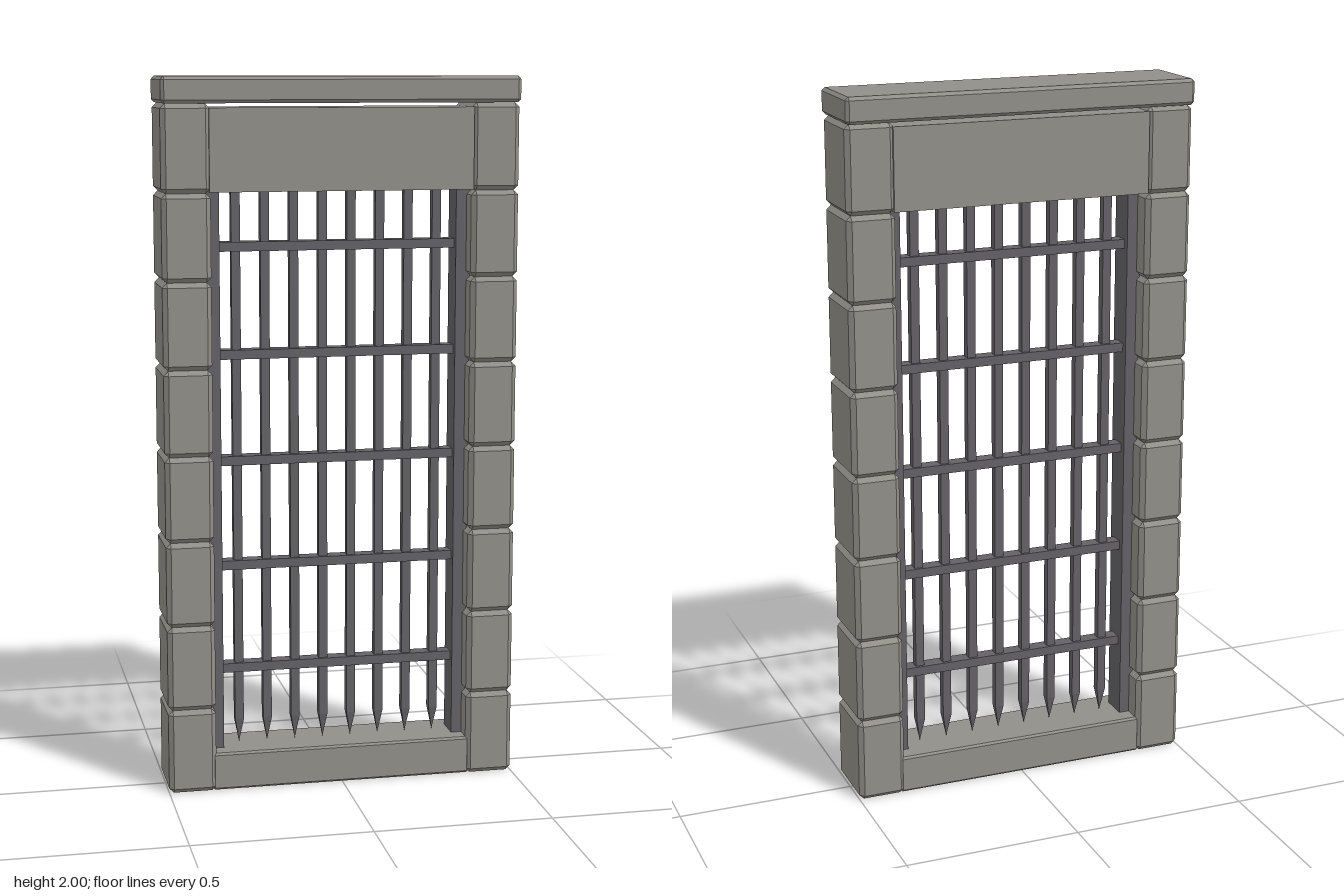
import * as THREE from 'three';
import { ConvexGeometry } from 'three/addons/geometries/ConvexGeometry.js';

const stone = new THREE.MeshStandardMaterial({ color: 0x918f88 });
stone.name = 'stone';
const iron = new THREE.MeshStandardMaterial({ color: 0x636166 });
iron.name = 'iron';

// Box with every edge cut at 45 degrees
function chamferedBox(w, h, d, c) {
  const points = [];
  for (const sx of [-1, 1]) for (const sy of [-1, 1]) for (const sz of [-1, 1]) {
    const x = w / 2, y = h / 2, z = d / 2;
    points.push(
      new THREE.Vector3(sx * x, sy * (y - c), sz * (z - c)),
      new THREE.Vector3(sx * (x - c), sy * y, sz * (z - c)),
      new THREE.Vector3(sx * (x - c), sy * (y - c), sz * z));
  }
  return new ConvexGeometry(points);
}

export function createModel() {
  const model = new THREE.Group();
  model.name = 'portcullisGate';

  function add(name, geometry, material, x, y, z = 0, parent = model) {
    const mesh = new THREE.Mesh(geometry, material);
    mesh.name = name;
    mesh.position.set(x, y, z);
    parent.add(mesh);
    return mesh;
  }

  // Posts of stacked stone blocks, with an iron guide on the inner side
  const pitch = 1.928 / 8;
  const block = chamferedBox(0.135, pitch, 0.2, 0.013);
  const guide = new THREE.BoxGeometry(0.04, 1.6, 0.08);
  for (const side of [-1, 1]) {
    const post = new THREE.Group();
    post.name = side > 0 ? 'leftPost' : 'rightPost';
    model.add(post);
    for (let i = 0; i < 8; i++) {
      add('stoneBlock', block, stone, side * 0.4325, pitch * (i + 0.5), 0, post);
    }
    add('guideRail', guide, iron, side * 0.355, 0.9, 0, post);
  }

  // Stone cap, lintel and sill
  add('cap', chamferedBox(1, 0.072, 0.224, 0.009), stone, 0, 1.964);
  add('lintel', new THREE.BoxGeometry(0.738, 0.226, 0.198), stone, 0, 1.803);
  add('sill', chamferedBox(0.75, 0.108, 0.184, 0.006), stone, 0, 0.054);

  // Iron grille
  const grille = new THREE.Group();
  grille.name = 'grille';
  model.add(grille);
  const bar = new THREE.BoxGeometry(0.025, 1.54, 0.025);
  const spike = new THREE.ConeGeometry(0.025 / Math.SQRT2, 0.07, 4).rotateY(Math.PI / 4).rotateX(Math.PI).toNonIndexed();
  spike.computeVertexNormals();
  for (let i = 0; i < 8; i++) {
    const x = (i - 3.5) * 0.0816;
    add('verticalBar', bar, iron, x, 0.95, 0, grille);
    add('spike', spike, iron, x, 0.145, 0, grille);
  }
  const crossbar = new THREE.BoxGeometry(0.68, 0.026, 0.042);
  for (let i = 0; i < 5; i++) {
    add('crossbar', crossbar, iron, 0, 0.336 + i * 0.3, 0, grille);
  }
  return model;
}
